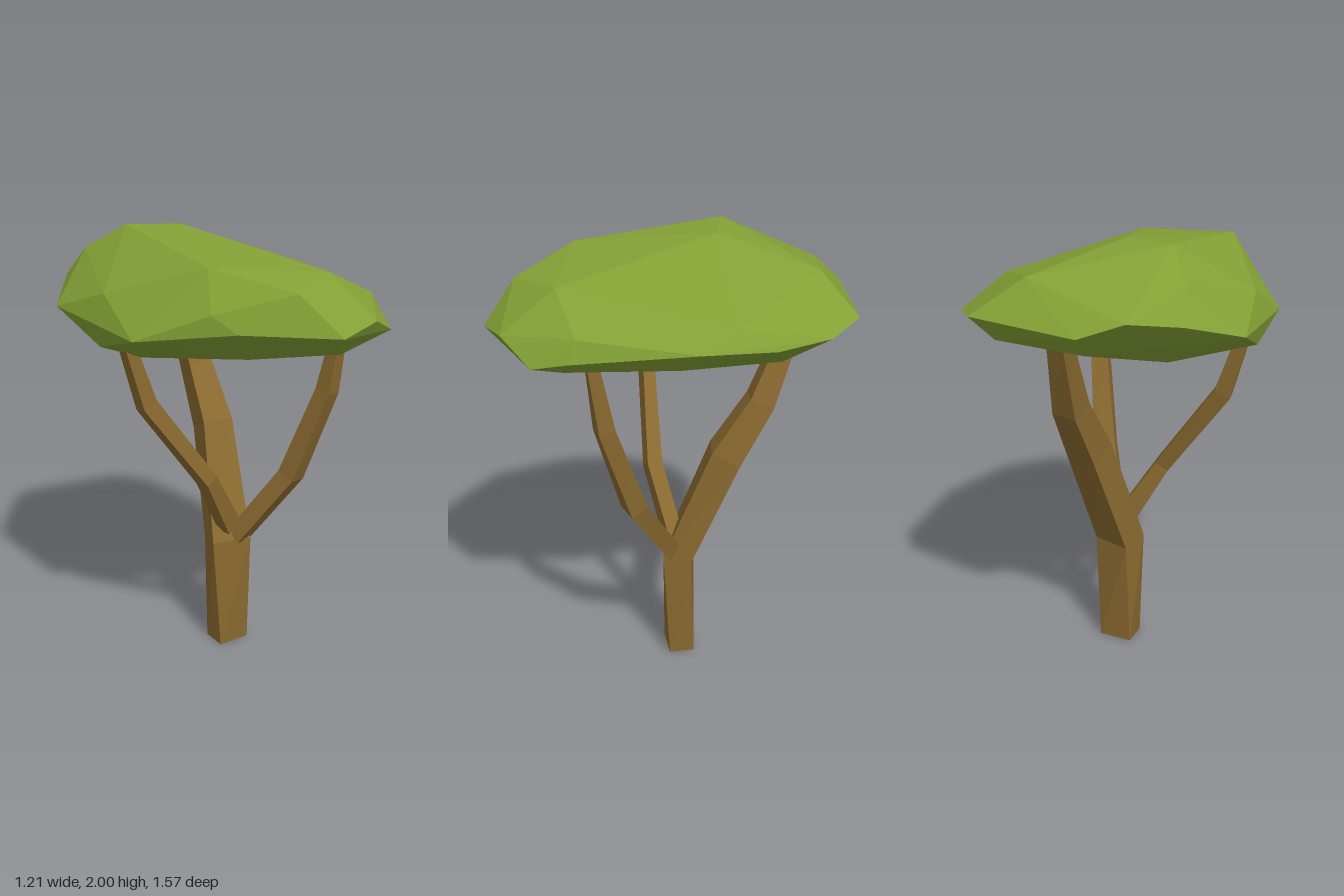
import * as THREE from 'three';
import { ConvexGeometry } from 'three/addons/geometries/ConvexGeometry.js';

const bark = new THREE.MeshStandardMaterial({ color: 0x8a6a30, flatShading: true });
const leaf = new THREE.MeshStandardMaterial({ color: 0x83a035, flatShading: true });

// Four-sided limb through rings of [x, y, z, halfWidth, halfDepth, twist]
function limb(name, rings) {
  const up = new THREE.Vector3(0, 1, 0);
  const centres = rings.map((r) => new THREE.Vector3(r[0], r[1], r[2]));
  const step = (i) => centres[i + 1].clone().sub(centres[i]).normalize();
  const positions = [], index = [], last = rings.length - 1;
  rings.forEach(([, , , w, d, twist], i) => {
    const dir = step(Math.min(i, last - 1));
    if (i > 0 && i < last) dir.add(step(i - 1)).normalize();
    const q = new THREE.Quaternion().setFromUnitVectors(up, dir);
    for (const [sx, sz] of [[-1, 1], [1, 1], [1, -1], [-1, -1]]) {
      const p = new THREE.Vector3(sx * w, 0, sz * d).applyAxisAngle(up, twist).applyQuaternion(q);
      positions.push(...p.add(centres[i]).toArray());
    }
    if (i === last) return;
    for (let k = 0; k < 4; k++) {
      const a = i * 4 + k, b = i * 4 + (k + 1) % 4;
      index.push(a, b, b + 4, a, b + 4, a + 4);
    }
  });
  const t = last * 4;
  index.push(0, 2, 1, 0, 3, 2, t, t + 1, t + 2, t, t + 2, t + 3); // end caps
  const g = new THREE.BufferGeometry();
  g.setAttribute('position', new THREE.Float32BufferAttribute(positions, 3));
  g.setIndex(index);
  const flat = g.toNonIndexed();
  flat.computeVertexNormals();
  const mesh = new THREE.Mesh(flat, bark);
  mesh.name = name;
  return mesh;
}

export function createModel() {
  const tree = new THREE.Group();
  tree.name = 'tree';

  // Trunk, bending into the thick rear limb
  tree.add(limb('trunk', [
    [0.06, 0, -0.03, 0.077, 0.058, -0.03],
    [0.06, 0.53, -0.028, 0.092, 0.065, -0.3],
    [0.115, 1.04, -0.225, 0.072, 0.07, -0.2],
    [0.125, 1.29, -0.375, 0.058, 0.056, -0.15],
    [0.1, 1.63, -0.51, 0.038, 0.038, -0.1],
  ]));

  // Thin side limb
  tree.add(limb('rightBranch', [
    [0.05, 0.61, 0.0, 0.045, 0.035, 0.2],
    [-0.12, 0.9, 0.058, 0.033, 0.036, 0.2],
    [-0.405, 1.3, 0.03, 0.038, 0.028, 0.15],
    [-0.505, 1.62, 0.025, 0.025, 0.024, 0.1],
  ]));

  // Front limb
  tree.add(limb('frontBranch', [
    [0.09, 0.55, 0.01, 0.045, 0.04, 0.3],
    [0.24, 0.89, 0.21, 0.05, 0.042, 0.3],
    [0.322, 1.31, 0.343, 0.038, 0.036, 0.2],
    [0.345, 1.62, 0.39, 0.02, 0.024, 0.1],
  ]));

  // Faceted crown: top, rim and underside points
  const crown = [
    [-0.29, 2, -0.29], [-0.06, 1.99, -0.21], [-0.32, 1.92, 0.36], [-0.1, 1.84, 0.64],
    [0.17, 1.87, 0.5], [0.2, 1.89, -0.58], [-0.4, 1.89, -0.45], [0.53, 1.78, -0.15],
    [0.44, 1.75, 0.46], [-0.55, 1.78, -0.04],
    [0.01, 1.68, 0.78], [0.22, 1.71, 0.73], [0.4, 1.63, 0.63], [0.46, 1.66, 0.5],
    [0.6, 1.71, 0], [0.57, 1.69, -0.3], [0.53, 1.71, -0.53], [0.4, 1.74, -0.69],
    [-0.11, 1.74, -0.79], [-0.28, 1.8, -0.73], [-0.44, 1.76, -0.56], [-0.61, 1.68, -0.34],
    [-0.58, 1.64, 0.22], [-0.37, 1.76, 0.45], [-0.3, 1.69, 0.53],
    [0.1, 1.58, 0.66], [0.36, 1.59, 0.5], [0.46, 1.6, 0.05], [0.28, 1.53, 0.1],
    [-0.45, 1.525, 0.08], [-0.57, 1.56, -0.05], [0.38, 1.57, -0.38], [0.1, 1.54, -0.38],
    [-0.3, 1.545, -0.36], [-0.1, 1.65, -0.7], [0.3, 1.65, -0.66], [-0.15, 1.54, 0.4],
    [0, 1.52, -0.12],
  ].map((p) => new THREE.Vector3(...p));
  const canopy = new THREE.Mesh(new ConvexGeometry(crown), leaf);
  canopy.name = 'canopy';
  tree.add(canopy);
  return tree;
}
